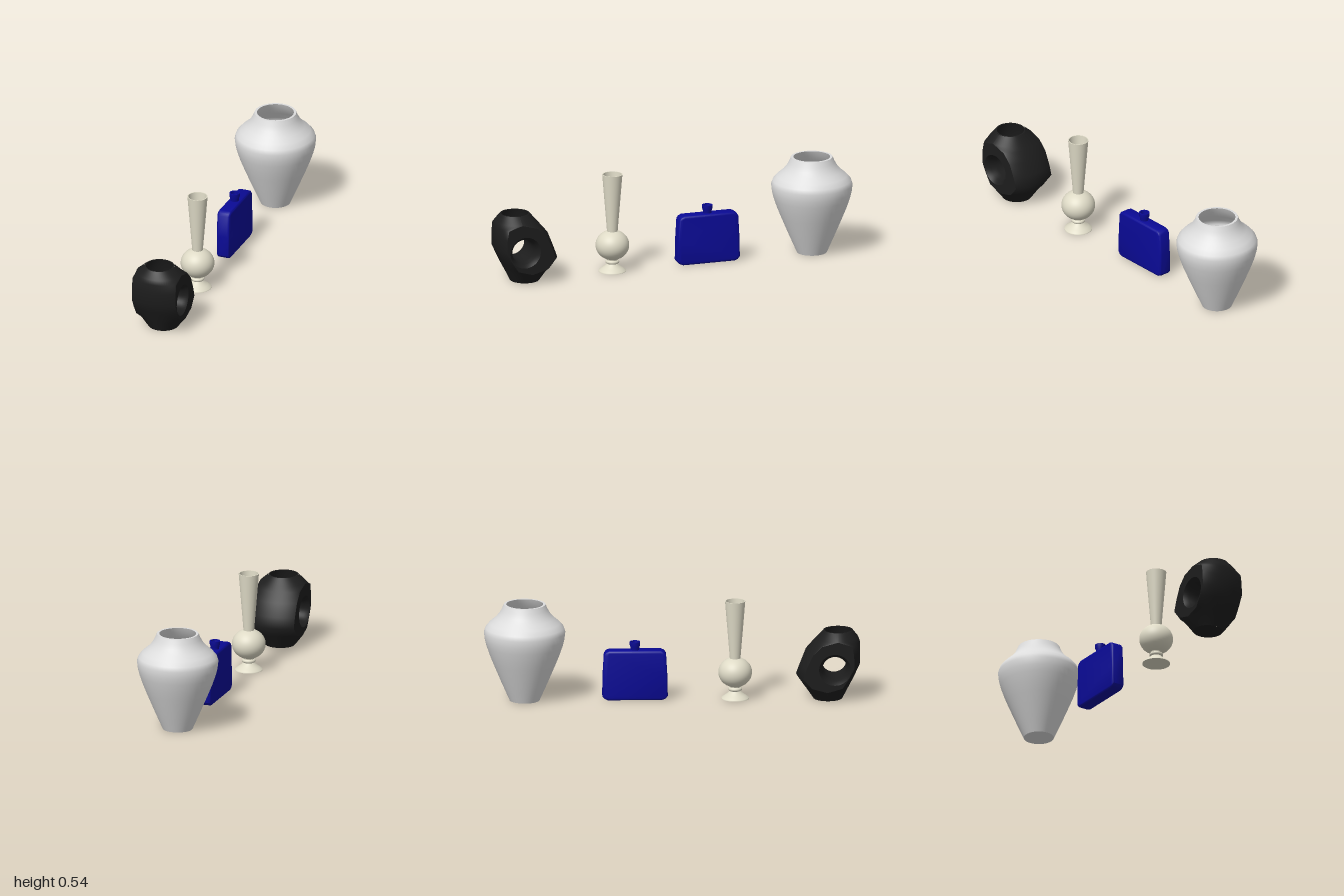
import * as THREE from 'three';
import { mergeGeometries, toCreasedNormals } from 'three/addons/utils/BufferGeometryUtils.js';

const V = (x, y) => new THREE.Vector2(x, y);

// Turned form made of several profiles, with a sharp edge between each
function turned(profiles, z = 0) {
  const parts = profiles.map(p => new THREE.LatheGeometry(p.map(([r, y]) => V(r, y)), 48));
  return mergeGeometries(parts).translate(0, 0, z);
}

// Ring-shaped vase: [y, back z, front z, half width of the full oval]
const HALF = 0.125;
const SECTIONS = [
  [0, 0.751, 0.906, 0.08], [0.057, 0.713, 0.934, HALF], [0.08, 0.697, 0.946, 0.165],
  [0.134, 0.66, 0.972, 0.2], [0.19, 0.681, 0.998, 0.21], [0.262, 0.709, 1, 0.19],
  [0.31, 0.75, 0.998, 0.165], [0.334, 0.77, 0.99, HALF], [0.373, 0.805, 0.96, 0.08],
].map(([y, back, front, ax]) => ({ y, zc: (back + front) / 2, hz: (front - back) / 2, ax }));

const ovalZ = (s, x) => s.hz * Math.sqrt(Math.max(0, 1 - (x / s.ax) ** 2));

// Curved front (dir 1) or back (dir -1) wall
function curvedWall(dir) {
  const n = 28, pos = [], index = [];
  SECTIONS.forEach((s, j) => {
    const w = Math.min(s.ax, HALF);
    for (let i = 0; i <= n; i++) {
      const x = dir * w * Math.sin((i / n - 0.5) * Math.PI);
      pos.push(x, s.y, s.zc + dir * ovalZ(s, x));
      if (j < SECTIONS.length - 1 && i < n) {
        const a = j * (n + 1) + i, b = a + n + 1;
        index.push(a, a + 1, b, a + 1, b + 1, b);
      }
    }
  });
  const g = new THREE.BufferGeometry();
  g.setAttribute('position', new THREE.Float32BufferAttribute(pos, 3));
  g.setIndex(index);
  g.computeVertexNormals();
  return g;
}

// Flat side with a round opening, on the left (dir 1) or right (dir -1)
function flatSide(dir, holeY, holeZ, holeR) {
  const rows = SECTIONS.filter(s => s.ax >= HALF);
  const inner = rows.slice(1, -1);
  const edge = (s, k) => V(-dir * (s.zc + k * ovalZ(s, HALF)), s.y);
  const points = [
    ...rows.map(s => edge(s, 1)),
    ...inner.reverse().map(s => edge(s, -1)),
  ];
  const shape = new THREE.Shape(points);
  const hole = new THREE.Path();
  hole.absarc(-dir * holeZ, holeY, holeR, 0, Math.PI * 2);
  shape.holes.push(hole);
  return new THREE.ShapeGeometry(shape, 24).rotateY(dir * Math.PI / 2).translate(dir * HALF, 0, 0);
}

export function createModel() {
  const root = new THREE.Group();
  const mat = (name, color) => new THREE.MeshStandardMaterial({ name, color });
  const white = mat('white', 0xdcdcdc);
  const cream = mat('cream', 0xdedac6);
  const blue = mat('blue', 0x0a0a96);
  const black = mat('black', 0x1d1d1d);

  const group = name => {
    const g = new THREE.Group();
    g.name = name;
    root.add(g);
    return g;
  };
  const add = (parent, name, geometry, material) => {
    const m = new THREE.Mesh(geometry, material);
    m.name = name;
    parent.add(m);
  };

  // Large white urn
  const urn = group('largeUrn');
  add(urn, 'urnOutside', turned([
    [[0, 0], [0.08, 0]],
    [[0.08, 0], [0.102, 0.05], [0.124, 0.1], [0.145, 0.15], [0.166, 0.2], [0.186, 0.25], [0.203, 0.3],
      [0.212, 0.335], [0.217, 0.375], [0.209, 0.4], [0.187, 0.425], [0.157, 0.45], [0.136, 0.475],
      [0.122, 0.5], [0.111, 0.527]],
    [[0.111, 0.527], [0.098, 0.527]],
  ], -0.785), white);
  add(urn, 'urnInside', turned([
    [[0.098, 0.527], [0.112, 0.497], [0.145, 0.45], [0.197, 0.4], [0.205, 0.372], [0.191, 0.3],
      [0.154, 0.2], [0.112, 0.1], [0.068, 0.014]],
    [[0.068, 0.014], [0, 0.014]],
  ], -0.785), white);

  // Slender cream bud vase
  const bud = group('budVase');
  const bulb = [];
  for (let i = 0; i <= 20; i++) {
    const a = -1.23 + (i / 20) * 2.48;
    bulb.push([0.09 * Math.cos(a), 0.144 + 0.081 * Math.sin(a)]);
  }
  add(bud, 'foot', turned([
    [[0, 0], [0.074, 0]],
    [[0.074, 0], [0.073, 0.005], [0.055, 0.018], [0.038, 0.031], [0.029, 0.042]],
    [[0.029, 0.042], [0.035, 0.046], [0.037, 0.052], [0.035, 0.058], [0.028, 0.062]],
    [[0.028, 0.062], [0.03, 0.07]],
  ], 0.335), cream);
  add(bud, 'bulb', turned([bulb], 0.335), cream);
  add(bud, 'neck', turned([
    [[0.028, 0.215], [0.054, 0.535]],
    [[0.054, 0.535], [0.049, 0.535]],
    [[0.049, 0.535], [0.022, 0.2]],
    [[0.022, 0.2], [0, 0.2]],
  ], 0.335), cream);

  // Flat blue flask
  const flask = group('flask');
  const half = [[0.145, 0], [0.163, 0.008], [0.174, 0.022], [0.172, 0.13], [0.165, 0.25], [0.155, 0.264], [0.138, 0.272]];
  const outline = [
    ...half.map(([x, y]) => V(x, y)),
    ...half.slice().reverse().map(([x, y]) => V(-x, y)),
  ];
  const body = new THREE.ExtrudeGeometry(new THREE.Shape(outline), {
    depth: 0.048, bevelThickness: 0.013, bevelSize: 0.013, bevelOffset: -0.013, bevelSegments: 4,
  });
  body.translate(0, 0, -0.024).rotateY(Math.PI / 2).translate(0, 0, -0.198);
  add(flask, 'flaskBody', toCreasedNormals(body, 0.7), blue);
  add(flask, 'flaskNeck', turned([
    [[0.022, 0.268], [0.023, 0.285], [0.028, 0.297], [0.028, 0.316]],
    [[0.028, 0.316], [0.021, 0.316]],
    [[0.021, 0.316], [0.018, 0.275]],
    [[0.018, 0.275], [0, 0.275]],
  ], -0.198), blue);

  // Black ring-shaped vase with an opening through its sides
  const ring = group('ringVase');
  const holeY = 0.182, holeZ = 0.863, holeR = 0.085;
  add(ring, 'frontWall', curvedWall(1), black);
  add(ring, 'backWall', curvedWall(-1), black);
  add(ring, 'leftSide', flatSide(1, holeY, holeZ, holeR), black);
  add(ring, 'rightSide', flatSide(-1, holeY, holeZ, holeR), black);
  const tunnel = turned([[[holeR, HALF], [0.067, 0.1], [0.063, 0.06], [0.062, 0],
    [0.063, -0.06], [0.067, -0.1], [holeR, -HALF]]]);
  add(ring, 'sideOpening', tunnel.rotateZ(Math.PI / 2).translate(0, holeY, holeZ), black);
  const base = new THREE.CircleGeometry(1, 48).rotateX(Math.PI / 2).scale(0.08, 1, 0.0775);
  add(ring, 'base', base.translate(0, 0, 0.8285), black);
  add(ring, 'mouth', turned([
    [[0.079, 0.373], [0.072, 0.373]],
    [[0.072, 0.373], [0.1, 0.3], [0.1, 0.255]],
    [[0.1, 0.255], [0, 0.255]],
  ], 0.8825), black);

  return root;
}
